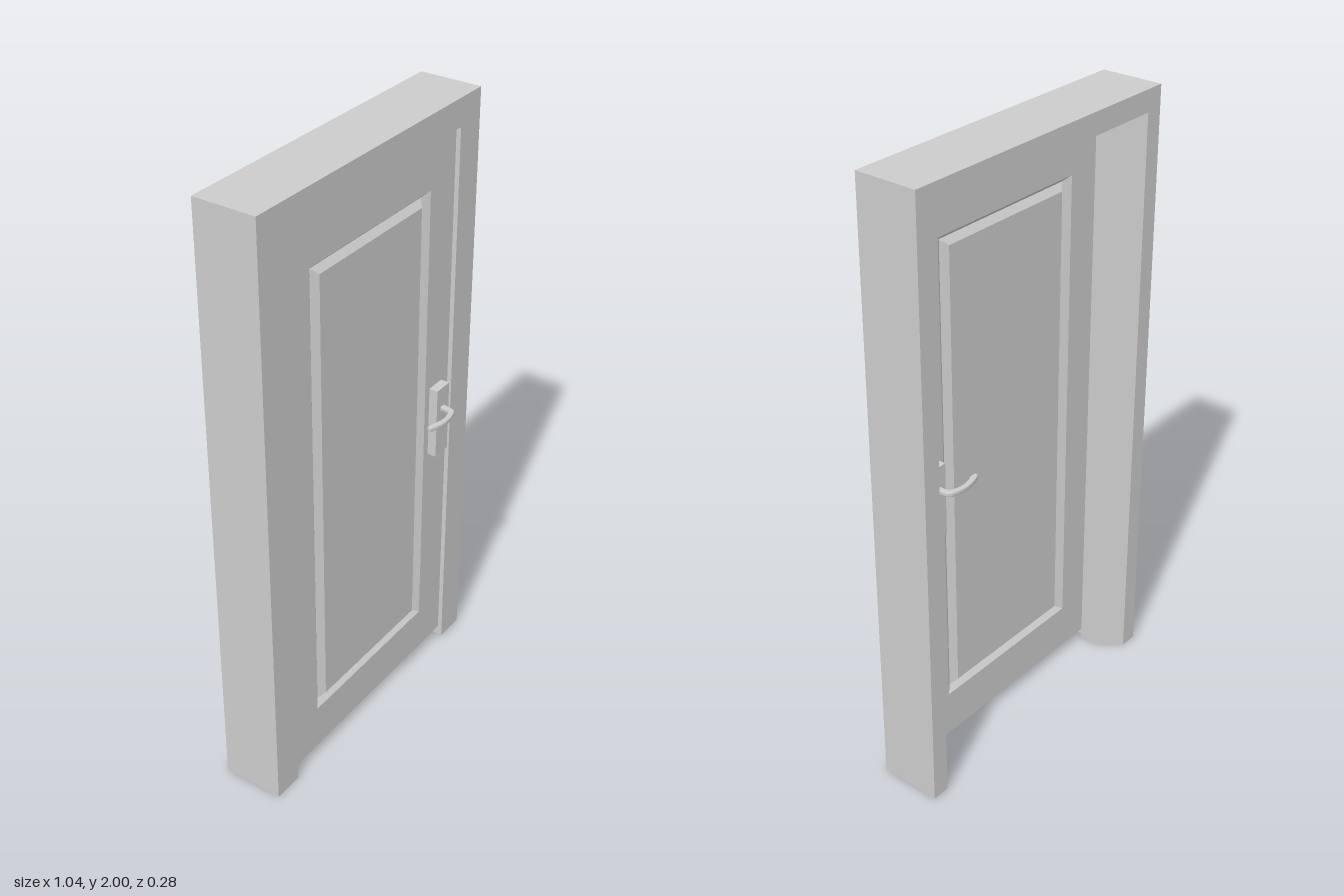
import * as THREE from 'three';

const material = new THREE.MeshStandardMaterial({ color: 0xcccccc });

function addMesh(parent, name, geometry) {
  const mesh = new THREE.Mesh(geometry, material);
  mesh.name = name;
  parent.add(mesh);
  return mesh;
}

// Flat-shaded skin over rows of points; rows and columns may wrap round.
function skin(rows, wrapRows, wrapColumns) {
  const positions = [];
  const n = rows[0].length;
  for (let i = 0; i < rows.length - (wrapRows ? 0 : 1); i++) {
    const inner = rows[i], outer = rows[(i + 1) % rows.length];
    for (let j = 0; j < n - (wrapColumns ? 0 : 1); j++) {
      const k = (j + 1) % n;
      const a = inner[j], b = outer[j], c = outer[k], d = inner[k];
      positions.push(...a, ...b, ...c, ...a, ...c, ...d);
    }
  }
  const geometry = new THREE.BufferGeometry();
  geometry.setAttribute('position', new THREE.Float32BufferAttribute(positions, 3));
  geometry.computeVertexNormals();
  return geometry;
}

// Door casing: one rebated, splayed profile mitred round jambs and header.
function createFrame() {
  const frame = new THREE.Group();
  frame.name = 'doorFrame';
  // half width, header height, depth
  const profile = [
    [0.42, 1.91, 0.065], [0.522, 2, 0.065], [0.522, 2, -0.14], [0.463, 1.93, -0.14],
    [0.405, 1.895, -0.07], [0.405, 1.895, 0], [0.42, 1.91, 0],
  ];
  const rows = profile.map(([x, top, z]) => [[x, 0, z], [x, top, z], [-x, top, z], [-x, 0, z]]);
  addMesh(frame, 'casing', skin(rows, true, false));
  for (const side of [1, -1]) {
    const foot = new THREE.Shape(profile.map(([x, , z]) => new THREE.Vector2(side * x, z)));
    const geometry = new THREE.ShapeGeometry(foot);
    geometry.rotateX(Math.PI / 2);
    addMesh(frame, side > 0 ? 'leftJambFoot' : 'rightJambFoot', geometry);
  }
  return frame;
}

// Door leaf: rectangular loops from the front panel, over the edge, to the back panel.
function createLeaf() {
  const half = [
    [0, 0.226, 1.72, 0.025],
    [0.247, 0.226, 1.72, 0.025],
    [0.268, 0.207, 1.74, 0.007], // bottom of the groove
    [0.292, 0.19, 1.757, 0.025],
    [0.42, 0.035, 1.91, 0.025],
  ];
  const back = half.map(([x, y0, y1, z]) => [x, y0, y1, -z]).reverse();
  const rows = [...half, ...back].map(([x, y0, y1, z]) =>
    [[-x, y0, z], [x, y0, z], [x, y1, z], [-x, y1, z]]);
  return skin(rows, false, true);
}

// Backplate and curved lever, standing off the leaf along +z.
function createHandle(name) {
  const handle = new THREE.Group();
  handle.name = name;
  const plate = addMesh(handle, 'backplate', new THREE.BoxGeometry(0.067, 0.245, 0.03));
  plate.position.set(0.35, 0.953, 0.04);

  // lever outline seen from above
  const outline = new THREE.Shape();
  outline.moveTo(0.36, 0.05);
  outline.lineTo(0.354, 0.086);
  outline.quadraticCurveTo(0.351, 0.099, 0.34, 0.104);
  outline.quadraticCurveTo(0.28, 0.126, 0.22, 0.096);
  outline.lineTo(0.219, 0.083);
  outline.lineTo(0.242, 0.083);
  outline.quadraticCurveTo(0.286, 0.107, 0.33, 0.087);
  outline.quadraticCurveTo(0.338, 0.083, 0.338, 0.05);
  outline.closePath();
  const geometry = new THREE.ExtrudeGeometry(outline, {
    depth: 0.008, curveSegments: 6,
    bevelEnabled: true, bevelSize: 0.004, bevelOffset: -0.004, bevelThickness: 0.004, bevelSegments: 2,
  });
  geometry.rotateX(Math.PI / 2);
  const lever = addMesh(handle, 'lever', geometry);
  lever.position.y = 1.004;
  return handle;
}

export function createModel() {
  const model = new THREE.Group();
  model.name = 'panelDoor';
  model.add(createFrame());

  const door = new THREE.Group();
  door.name = 'door';
  door.position.z = 0.025;
  addMesh(door, 'leaf', createLeaf());
  const frontHandle = createHandle('frontHandle');
  const backHandle = createHandle('backHandle');
  backHandle.scale.z = -1;
  door.add(frontHandle, backHandle);
  model.add(door);
  return model;
}
